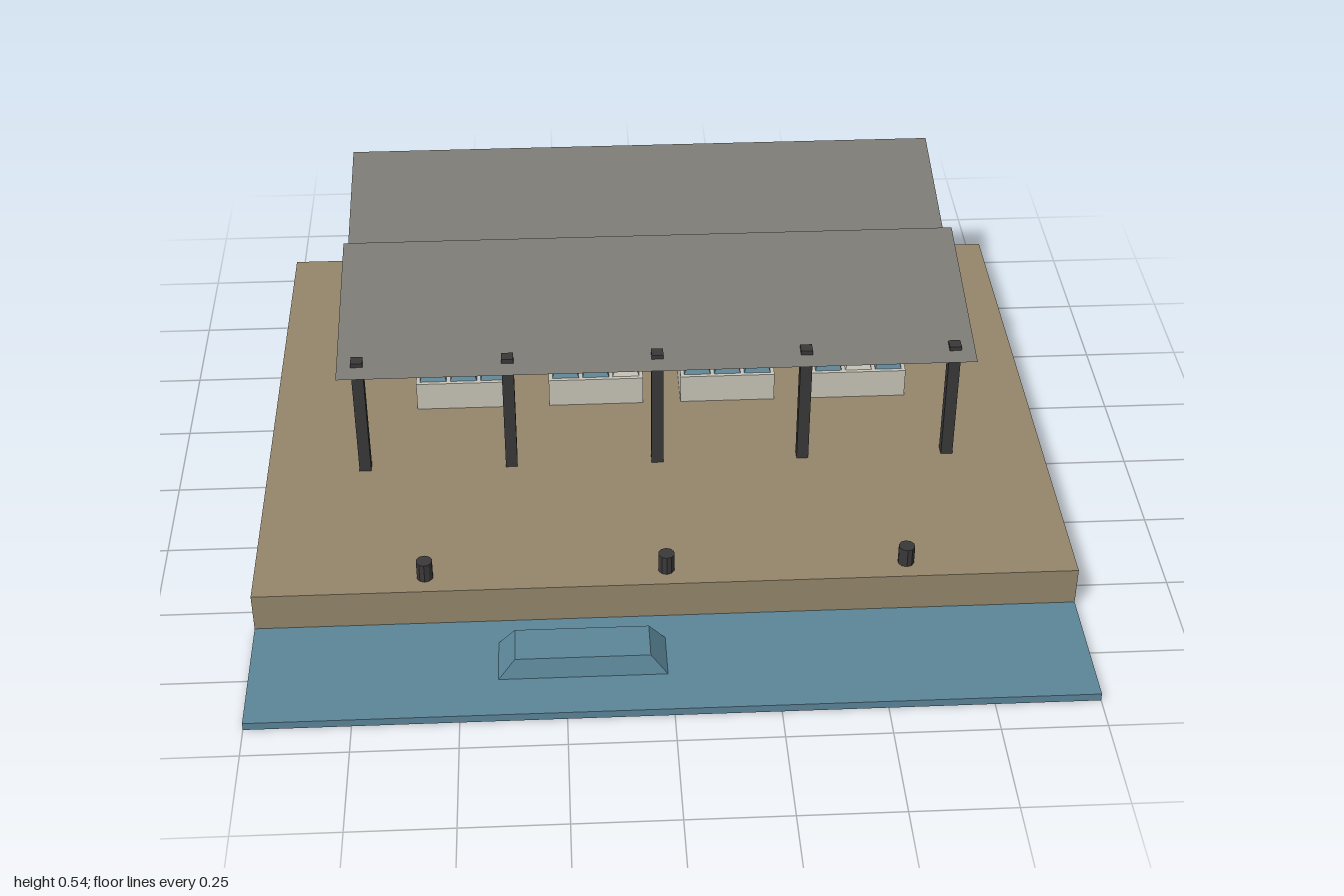
import * as THREE from 'three';

const mat = (name, color, side = THREE.FrontSide) => {
  const m = new THREE.MeshStandardMaterial({ color, side, flatShading: true });
  m.name = name;
  return m;
};

export function createModel() {
  const root = new THREE.Group();
  root.name = 'waterfrontMarket';
  const sand = mat('sandyConcrete', 0x94866b);
  const blue = mat('waterBlue', 0x5b8598);
  const pale = mat('paleCream', 0xc8c4b8);
  const dark = mat('darkSteel', 0x3a3838);
  const roofGrey = mat('roofGrey', 0x7a7974, THREE.DoubleSide);

  const add = (name, geometry, material, x, y, z, parent = root) => {
    const mesh = new THREE.Mesh(geometry, material);
    mesh.name = name;
    mesh.position.set(x, y, z);
    parent.add(mesh);
    return mesh;
  };
  // Box standing on height y
  const box = (name, material, w, h, d, x, y, z, parent) =>
    add(name, new THREE.BoxGeometry(w, h, d), material, x, y + h / 2, z, parent);
  // Box whose top is pulled in by ix and iz on each side
  const taperedBox = (name, material, w, h, d, ix, iz, x, y, z, parent) => {
    const g = new THREE.BoxGeometry(w, h, d);
    const p = g.attributes.position;
    for (let i = 0; i < p.count; i++) {
      if (p.getY(i) > 0) {
        p.setX(i, p.getX(i) - Math.sign(p.getX(i)) * ix);
        p.setZ(i, p.getZ(i) - Math.sign(p.getZ(i)) * iz);
      }
    }
    g.computeVertexNormals();
    return add(name, g, material, x, y + h / 2, z, parent);
  };

  // Quay, water and moored boat
  const deckY = 0.12;
  box('quay', sand, 2, 0.1, 1.5, 0, 0.02, -0.165);
  box('water', blue, 2, 0.02, 0.335, 0, 0, 0.7475);
  taperedBox('boat', blue, 0.4, 0.05, 0.13, 0.04, 0.013, -0.21, 0.02, 0.73);

  // Mooring bollards along the edge
  for (const x of [-0.585, 0, 0.585]) {
    add('bollard', new THREE.CylinderGeometry(0.02, 0.02, 0.05, 10), dark, x, deckY + 0.025, 0.53);
  }

  // Two rows of roof posts
  for (const z of [0.085, -0.75]) {
    for (let i = -2; i <= 2; i++) box('post', dark, 0.03, 0.335, 0.03, i * 0.375, deckY, z);
  }
  box('backWall', pale, 1.5, 0.25, 0.02, 0, deckY, -0.741);

  // Sawtooth roof: two thin sheets rising to the back
  const run = 0.48, rise = 0.1;
  for (const z of [-0.1, -0.58]) {
    const sheet = new THREE.PlaneGeometry(1.6, Math.hypot(run, rise));
    sheet.rotateX(-Math.PI / 2 + Math.atan2(rise, run));
    add('roofSheet', sheet, roofGrey, 0, 0.485, z);
  }

  // Four stalls, each with three trays
  const palest = new Set(['1,2', '3,1']);
  for (let s = 0; s < 4; s++) {
    const stall = new THREE.Group();
    stall.name = 'stall';
    stall.position.set(-0.5 + s * 0.35, deckY, -0.23);
    root.add(stall);
    box('counter', pale, 0.25, 0.08, 0.13, 0, 0, 0, stall);
    for (let t = 0; t < 3; t++) {
      const material = palest.has(`${s},${t}`) ? pale : blue;
      taperedBox('tray', material, 0.07, 0.024, 0.11, 0.008, 0.01, (t - 1) * 0.08, 0.08, 0, stall);
    }
  }

  // Crates stacked behind the stalls: x, z, height, material
  const crates = [
    [0.525, -0.483, 0.065, pale], [0.335, -0.53, 0.065, blue],
    [0.33, -0.595, 0.065, blue], [0.002, -0.465, 0.032, blue],
    [-0.265, -0.64, 0.065, blue], [-0.267, -0.52, 0.065, pale],
    [-0.637, -0.57, 0.065, pale], [-0.62, -0.675, 0.032, pale],
  ];
  for (const [x, z, h, material] of crates) box('crate', material, 0.05, h, 0.05, x, deckY, z);

  return root;
}
